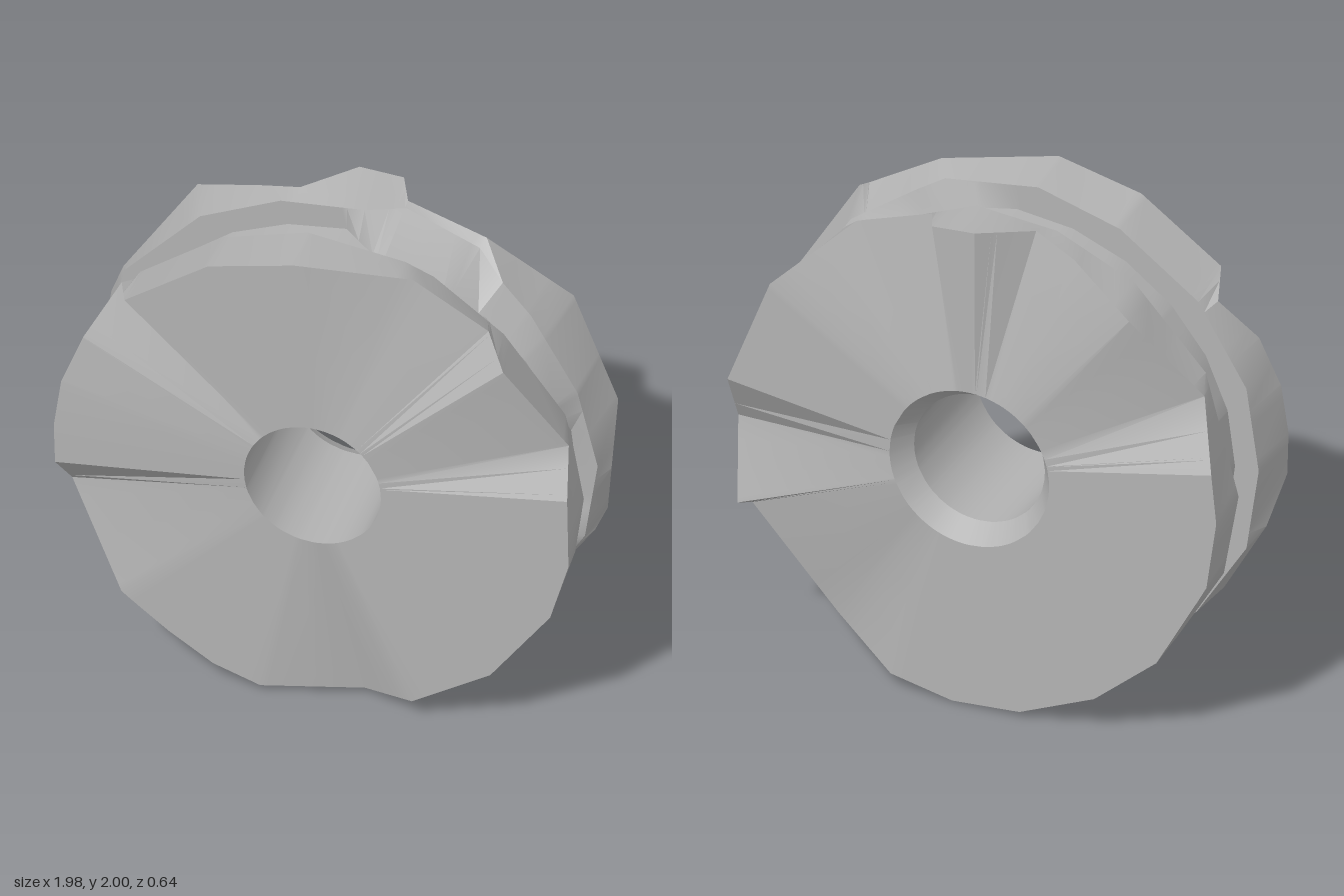
import * as THREE from 'three';
import { toCreasedNormals } from 'three/addons/utils/BufferGeometryUtils.js';

const TAU = Math.PI * 2;
const angleOf = ([x, y]) => (Math.atan2(y, x) + TAU) % TAU;
const polar = ([deg, r, z]) => [r * Math.cos(deg * TAU / 360), r * Math.sin(deg * TAU / 360), z];
const byAngle = (pts) => [...pts].sort((a, b) => angleOf(a) - angleOf(b));

// Chipped outer edges: x, y from the hub, z
const frontEdge = byAngle([
  [0.975, 0.15, 0.32], [0.95, 0.33, 0.22], [0.73, 0.69, 0.32], [0.64, 0.78, 0.21],
  [0.35, 0.95, 0.21], [-0.07, 1, 0.32], [-0.4, 0.92, 0.32], [-0.72, 0.69, 0.32],
  [-0.78, 0.64, 0.16], [-0.89, 0.45, 0.28], [-0.965, 0.25, 0.31], [-0.99, 0.05, 0.32],
  [-0.985, -0.12, 0.32], [-0.96, -0.28, 0.19], [-0.73, -0.66, 0.32], [-0.55, -0.8, 0.32],
  [-0.38, -0.91, 0.32], [-0.2, -0.97, 0.32], [0.17, -0.97, 0.22], [0.38, -0.91, 0.32],
  [0.68, -0.72, 0.32], [0.91, -0.4, 0.32], [0.98, -0.15, 0.32],
]);
const backEdge = byAngle([
  [0.97, 0.15, -0.32], [0.985, -0.07, -0.19], [0.93, -0.36, -0.32], [0.91, -0.4, -0.23],
  [0.58, -0.8, -0.2], [0.32, -0.94, -0.31], [0.07, -0.99, -0.32], [-0.2, -0.975, -0.32],
  [-0.5, -0.85, -0.32], [-0.75, -0.64, -0.32], [-0.95, -0.28, -0.32], [-0.99, 0, -0.32],
  [-0.97, 0.2, -0.32], [-0.88, 0.44, -0.18], [-0.64, 0.77, -0.32], [-0.37, 0.91, -0.21],
  [-0.2, 0.97, -0.17], [-0.02, 0.995, -0.32], [0.15, 0.985, -0.32], [0.2, 0.97, -0.21],
  [0.5, 0.87, -0.21], [0.8, 0.59, -0.32],
]);

// Groove lips: degrees, radius, z
const frontLip = byAngle([
  [0, 0.97, 0.1], [15, 0.96, 0.1], [21, 0.95, 0.06], [46, 0.95, 0.09], [66, 0.96, 0.08],
  [73, 0.98, 0.1], [95, 0.99, 0.1], [115, 0.98, 0.1], [138, 0.98, 0.1], [160, 0.98, 0.1],
  [180, 0.97, 0.1], [200, 0.98, 0.1], [222, 0.97, 0.1], [242, 0.98, 0.1], [260, 0.98, 0.1],
  [280, 0.98, 0.1], [300, 0.98, 0.1], [320, 0.98, 0.1], [336, 0.96, 0.06], [345, 0.97, 0.1],
].map(polar));
const backLip = byAngle([
  [0, 0.96, -0.1], [20, 0.94, -0.1], [42, 0.95, -0.1], [52, 0.97, -0.1], [60, 0.97, -0.18],
  [78, 0.98, -0.18], [86, 0.98, -0.1], [105, 0.98, -0.1], [125, 0.98, -0.1], [150, 0.98, -0.1],
  [180, 0.98, -0.1], [200, 0.98, -0.1], [222, 0.98, -0.1], [245, 0.98, -0.1], [274, 1, -0.1],
  [297, 0.98, -0.1], [318, 0.97, -0.1], [340, 0.97, -0.1],
].map(polar));

// Groove floor, pinched to a V at the upper right and lower right: degrees, front z, back z
const floorStops = [
  [0, 0.1, -0.1], [10, 0.07, -0.09], [21, 0.01, -0.01], [35, 0.02, 0], [50, 0.03, 0], [62, 0.05, 0.04],
  [80, 0.07, 0.02], [90, 0.1, -0.1], [105, 0.1, -0.1], [120, 0.1, -0.1], [135, 0.1, -0.1], [150, 0.1, -0.1],
  [165, 0.1, -0.1], [180, 0.1, -0.1], [195, 0.1, -0.1], [210, 0.1, -0.1], [225, 0.1, -0.1], [240, 0.1, -0.1],
  [255, 0.1, -0.1], [270, 0.1, -0.1], [285, 0.1, -0.1], [300, 0.1, -0.1], [317, 0.08, -0.1], [326, 0.02, -0.09],
  [337, -0.02, -0.04], [348, 0.06, -0.1],
];
const frontFloor = byAngle(floorStops.map(([d, zf]) => polar([d, 0.875, zf])));
const backFloor = byAngle(floorStops.map(([d, , zb]) => polar([d, 0.875, zb])));

// One shared set of angles keeps every corner exact
const angles = [...frontEdge, ...backEdge, ...frontLip, ...backLip, ...frontFloor]
  .map(angleOf).sort((a, b) => a - b)
  .filter((a, i, all) => i === 0 || a - all[i - 1] > 0.004);

// Point of a closed outline in a given direction from the hub
function sample(outline, a) {
  const n = outline.length;
  let k = outline.findIndex((p) => angleOf(p) > a);
  if (k < 0) k = 0;
  const p = outline[(k + n - 1) % n], q = outline[k];
  const cross = (v) => v[0] * Math.sin(a) - v[1] * Math.cos(a);
  const t = cross(p) / (cross(p) - cross(q));
  return p.map((v, i) => v + (q[i] - v) * t);
}
const ringOf = (outline) => angles.map((a) => sample(outline, a));
const circle = (r, z) => angles.map((a) => [r * Math.cos(a), r * Math.sin(a), z]);

// Skin a run of rings, ordered so that the surface faces outwards
function skin(name, rings, material) {
  const pos = [];
  const n = angles.length;
  for (let j = 0; j < rings.length - 1; j++) {
    for (let i = 0; i < n; i++) {
      const k = (i + 1) % n;
      const a = rings[j][i], b = rings[j + 1][i], c = rings[j + 1][k], d = rings[j][k];
      pos.push(...a, ...b, ...c, ...a, ...c, ...d);
    }
  }
  const geometry = new THREE.BufferGeometry();
  geometry.setAttribute('position', new THREE.Float32BufferAttribute(pos, 3));
  const mesh = new THREE.Mesh(toCreasedNormals(geometry, 0.5), material);
  mesh.name = name;
  return mesh;
}

export function createModel() {
  const stone = new THREE.MeshStandardMaterial({ color: 0xb2b2b2 });
  stone.name = 'grey stone';

  const wheel = new THREE.Group();
  wheel.name = 'stoneWheel';
  wheel.position.y = 1;

  const boreFront = circle(0.262, 0.32), boreBack = circle(0.262, -0.23), mouth = circle(0.32, -0.32);
  const front = ringOf(frontEdge), back = ringOf(backEdge);
  const lipF = ringOf(frontLip), lipB = ringOf(backLip);

  wheel.add(
    skin('frontFace', [boreFront, front], stone),
    skin('frontRim', [front, lipF], stone),
    skin('groove', [lipF, ringOf(frontFloor), ringOf(backFloor), lipB], stone),
    skin('backRim', [lipB, back], stone),
    skin('backFace', [back, mouth], stone),
    skin('axleHole', [mouth, boreBack, boreFront], stone),
  );

  const model = new THREE.Group();
  model.name = 'wheelModel';
  model.add(wheel);
  return model;
}
